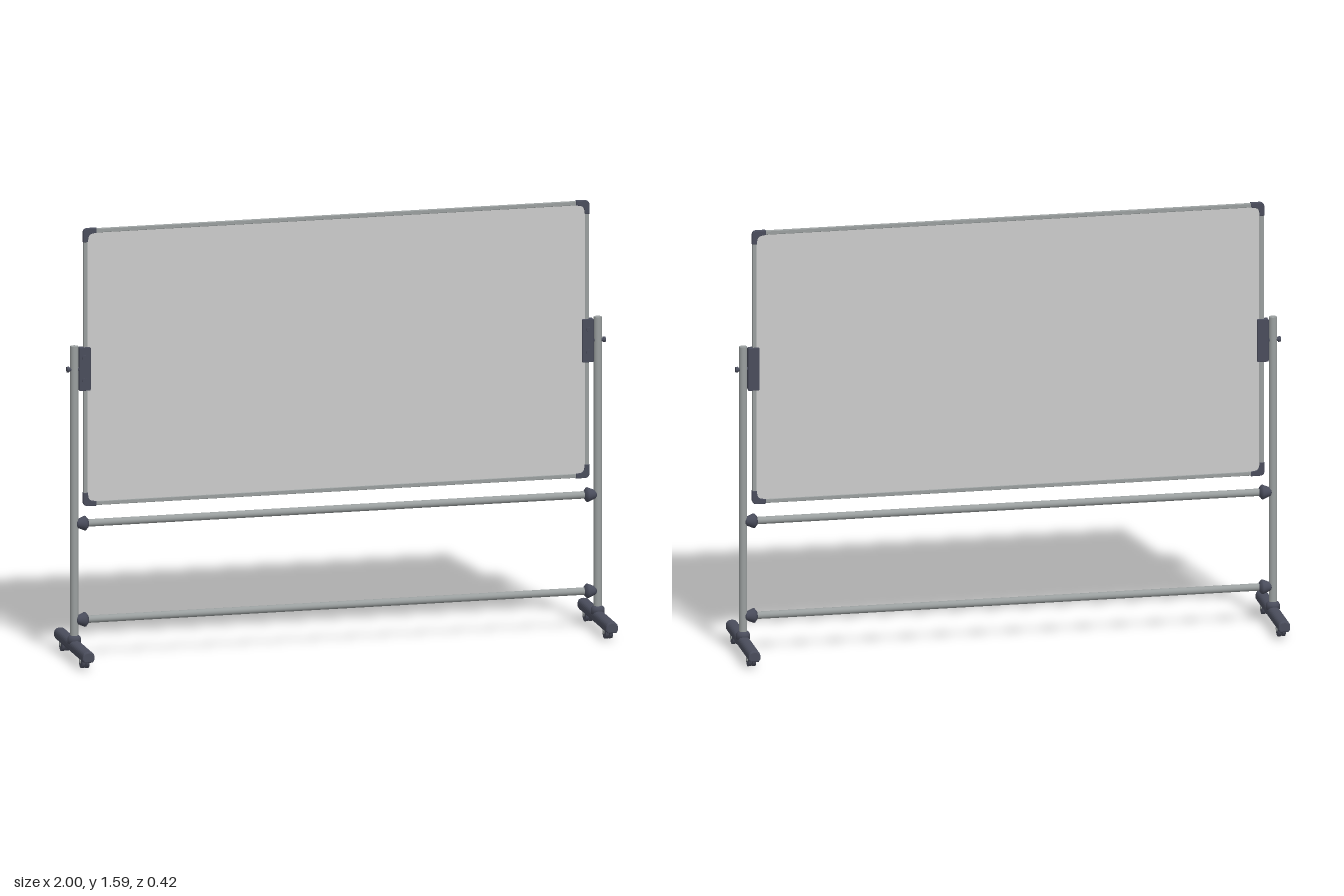
import * as THREE from 'three';

const board = new THREE.MeshStandardMaterial({ color: 0xcccccc });
const metal = new THREE.MeshStandardMaterial({ color: 0x9a9f9f });
const dark = new THREE.MeshStandardMaterial({ color: 0x4a4d5c });

const BOARD = { w: 1.876, h: 1.02, y: 1.075 };
const POST_X = 0.972;

export function createModel() {
  const root = new THREE.Group();

  const add = (parent, name, geo, mat, x = 0, y = 0, z = 0) => {
    const m = new THREE.Mesh(geo, mat);
    m.name = name;
    m.position.set(x, y, z);
    parent.add(m);
    return m;
  };
  const rod = (r, len, axis, seg = 24) => {
    const g = new THREE.CylinderGeometry(r, r, len, seg);
    if (axis === 'x') g.rotateZ(Math.PI / 2);
    if (axis === 'z') g.rotateX(Math.PI / 2);
    return g;
  };
  const lathe = (pts) => new THREE.LatheGeometry(pts.map(p => new THREE.Vector2(...p)), 24);
  const roundRect = (Type, w, h, r) => {
    const s = new Type(), a = w / 2, b = h / 2;
    s.moveTo(-a + r, -b);
    s.lineTo(a - r, -b).absarc(a - r, -b + r, r, -Math.PI / 2, 0);
    s.lineTo(a, b - r).absarc(a - r, b - r, r, 0, Math.PI / 2);
    s.lineTo(-a + r, b).absarc(-a + r, b - r, r, Math.PI / 2, Math.PI);
    s.lineTo(-a, -b + r).absarc(-a + r, -b + r, r, Math.PI, Math.PI * 1.5);
    return s;
  };
  const extrude = (shape, depth, bevel) => {
    const g = new THREE.ExtrudeGeometry(shape, {
      depth: depth - 2 * bevel, bevelEnabled: bevel > 0, bevelSize: bevel,
      bevelThickness: bevel, bevelOffset: -bevel, bevelSegments: 2, curveSegments: 6,
    });
    return g.translate(0, 0, -depth / 2 + bevel);
  };

  // Double-sided writing board
  const panel = new THREE.Group();
  panel.name = 'boardAssembly';
  panel.position.y = BOARD.y;
  root.add(panel);
  add(panel, 'writingSurface', new THREE.BoxGeometry(BOARD.w - 0.024, BOARD.h - 0.024, 0.007), board);

  // Slim frame around the board
  const frame = roundRect(THREE.Shape, BOARD.w, BOARD.h, 0.016);
  frame.holes.push(roundRect(THREE.Path, BOARD.w - 0.03, BOARD.h - 0.03, 0.008));
  add(panel, 'boardFrame', extrude(frame, 0.012, 0.002), metal);

  // Corner caps: rounded outside, filleted inside
  const cap = new THREE.Shape();
  cap.moveTo(0, -0.05);
  cap.lineTo(0, -0.018).quadraticCurveTo(0, 0, -0.018, 0);
  cap.lineTo(-0.05, 0).lineTo(-0.05, -0.017).lineTo(-0.036, -0.019);
  cap.quadraticCurveTo(-0.021, -0.021, -0.019, -0.036);
  cap.lineTo(-0.017, -0.05).closePath();
  const capGeo = extrude(cap, 0.016, 0.002);
  [[1, 1], [-1, 1], [-1, -1], [1, -1]].forEach(([sx, sy], i) => {
    const c = add(panel, 'cornerCap', capGeo, dark,
      sx * (BOARD.w / 2 + 0.002), sy * (BOARD.h / 2 + 0.002), 0);
    c.rotation.z = i * Math.PI / 2;
  });

  // Horizontal rails
  const couplingPts = [[0, -0.022], [0.015, -0.022], [0.026, -0.013], [0.027, -0.009],
    [0.016, 0.017], [0.014, 0.022], [0, 0.022]];
  for (const y of [0.5, 0.145]) {
    add(root, 'crossRail', rod(0.0135, 2 * POST_X - 0.03, 'x'), metal, 0, y);
    for (const s of [-1, 1]) {
      const c = add(root, 'railCoupling', lathe(couplingPts), dark, s * 0.943, y);
      c.rotation.z = -s * Math.PI / 2;
    }
  }

  // Foot bar cross-section: arched top, tapered underside
  const foot = new THREE.Shape();
  foot.moveTo(-0.016, 0.032);
  foot.lineTo(0.016, 0.032).lineTo(0.022, 0.042).lineTo(0.022, 0.055);
  foot.quadraticCurveTo(0.02, 0.072, 0, 0.072);
  foot.quadraticCurveTo(-0.02, 0.072, -0.022, 0.055);
  foot.lineTo(-0.022, 0.042).closePath();
  const footGeo = extrude(foot, 0.424, 0.005);

  for (const s of [-1, 1]) {
    const side = new THREE.Group();
    side.name = s > 0 ? 'leftStand' : 'rightStand';
    side.position.x = s * POST_X;
    root.add(side);

    // Upright with end cap and base collar
    add(side, 'upright', rod(0.0145, 1.085, 'y'), metal, 0, 0.6125);
    add(side, 'uprightBase', lathe([[0, 0.06], [0.025, 0.06], [0.025, 0.078],
      [0.02, 0.086], [0.0145, 0.089]]), dark);

    // Foot with two casters
    add(side, 'foot', footGeo, dark);
    for (const z of [-0.145, 0.145]) {
      for (const x of [-0.008, 0.008])
        add(side, 'casterWheel', rod(0.026, 0.011, 'x'), dark, x, 0.026, z);
      add(side, 'casterAxle', rod(0.009, 0.034, 'x'), metal, 0, 0.026, z);
      add(side, 'casterStem', rod(0.008, 0.03, 'y'), dark, 0, 0.03, z);
    }

    // Pivot bracket clamping the board edge, with two front screws
    add(side, 'pivotBracket', extrude(roundRect(THREE.Shape, 0.042, 0.16, 0.004), 0.022, 0.002),
      dark, -s * 0.038, 1.07);
    for (const y of [1.028, 1.112])
      add(side, 'bracketScrew', rod(0.009, 0.01, 'z'), dark, -s * 0.036, y, 0.013);

    // Pivot bolt through the upright and its outer knob
    add(side, 'pivotBolt', rod(0.007, 0.046, 'x'), dark, 0, 1.07);
    add(side, 'pivotKnob', rod(0.01, 0.009, 'x'), dark, s * 0.0235, 1.07);
  }

  return root;
}
